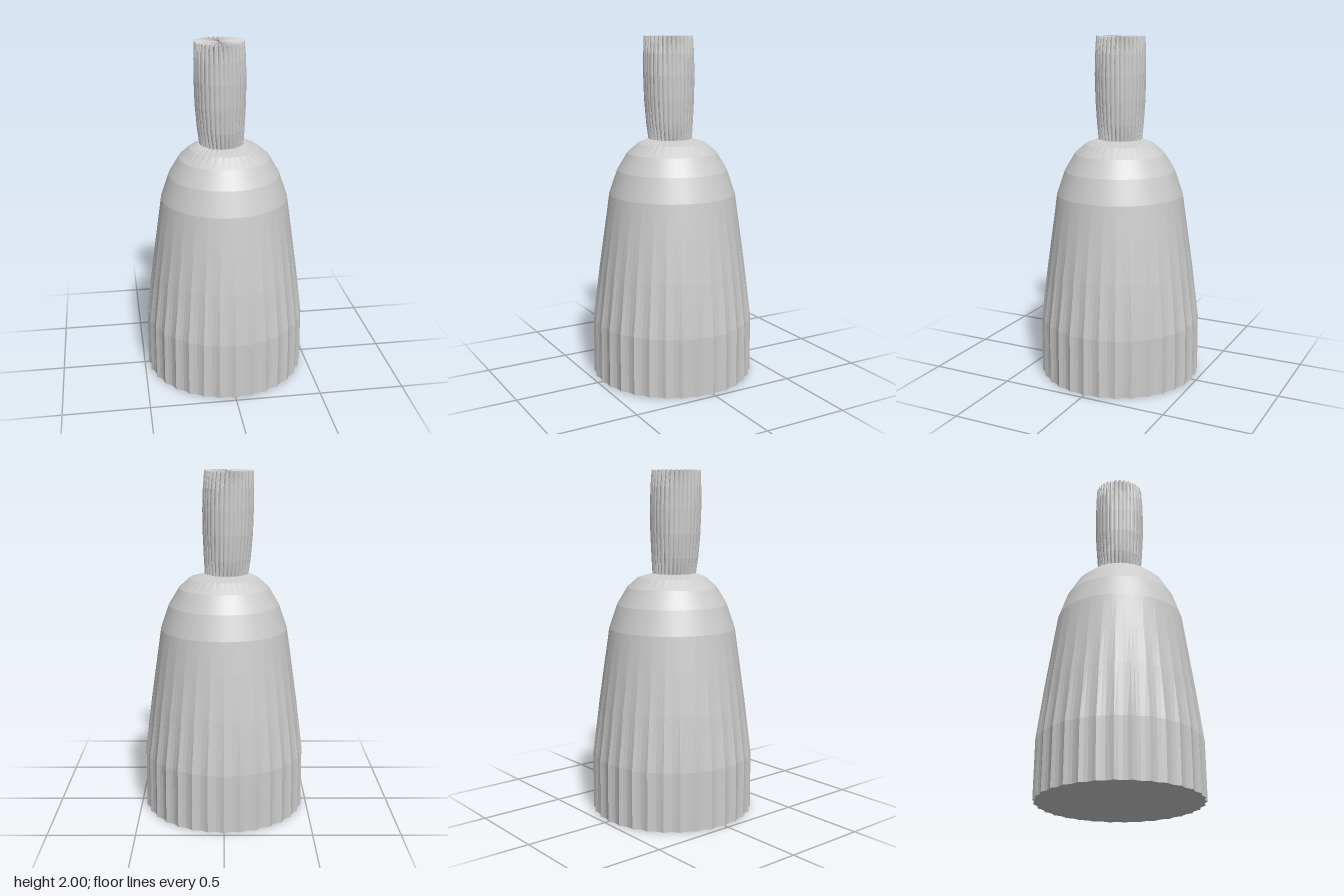
import * as THREE from 'three';

const PLEATS = 32;
const SEGMENTS = PLEATS * 4;

// Lofts a surface through rings, listed from bottom to top.
// Ring: y, r, x/z offset, pleat (sharp outward ridges), flute (narrow inward grooves), dip (grooves cut down from the rim)
function loft(name, rings) {
  const positions = [], index = [];
  for (const { y, r, x = 0, z = 0, pleat = 0, flute = 0, dip = 0 } of rings) {
    for (let i = 0; i <= SEGMENTS; i++) {
      const a = (i / SEGMENTS) * Math.PI * 2;
      const wave = Math.abs(Math.sin((a * PLEATS) / 2));
      const radius = Math.max(0, r - pleat * wave - flute * (1 - wave));
      positions.push(x + radius * Math.sin(a), y - dip * (1 - wave), z + radius * Math.cos(a));
    }
  }
  const row = SEGMENTS + 1;
  for (let j = 0; j < rings.length - 1; j++) {
    for (let i = 0; i < SEGMENTS; i++) {
      const a = j * row + i, b = a + 1, c = a + row, d = c + 1;
      index.push(a, b, d, a, d, c);
    }
  }
  const geometry = new THREE.BufferGeometry();
  geometry.setAttribute('position', new THREE.Float32BufferAttribute(positions, 3));
  geometry.setIndex(index);
  geometry.computeVertexNormals();
  const material = new THREE.MeshStandardMaterial({ color: 0xcccccc, flatShading: true });
  const mesh = new THREE.Mesh(geometry, material);
  mesh.name = name;
  return mesh;
}

export function createModel() {
  const group = new THREE.Group();
  group.name = 'handledBell';

  // Pleated skirt, its pleats fading out upwards
  const hem = { y: 0, r: 0.475, pleat: 0.015 };
  const waist = { y: 1.09, r: 0.37 };
  group.add(loft('base', [{ y: 0, r: 0 }, hem]));
  group.add(loft('skirt', [
    hem,
    { y: 0.34, r: 0.473, pleat: 0.013 },
    { y: 0.65, r: 0.434, pleat: 0.006 },
    { y: 0.9, r: 0.398, pleat: 0.002 },
    waist,
  ]));

  // Rounded shoulder gathered into the neck
  const neck = { y: 1.41, r: 0.127, x: -0.015, z: 0.004, flute: 0.012 };
  group.add(loft('shoulder', [
    waist,
    { y: 1.23, r: 0.322 },
    { y: 1.33, r: 0.262 },
    { y: 1.385, r: 0.2, flute: 0.003 },
    neck,
  ]));

  // Fluted handle, slightly bulged and off centre
  const rim = { y: 2, r: 0.141, x: -0.028, z: 0.008, flute: 0.013, dip: 0.015 };
  group.add(loft('handle', [
    neck,
    { y: 1.5, r: 0.136, x: -0.019, z: 0.006, flute: 0.006 },
    { y: 1.64, r: 0.145, x: -0.022, z: 0.007, flute: 0.004 },
    { y: 1.78, r: 0.148, x: -0.023, z: 0.008, flute: 0.004 },
    { y: 1.9, r: 0.146, x: -0.025, z: 0.008, flute: 0.006 },
    rim,
  ]));

  // Radially grooved cap with a small sunken centre
  group.add(loft('handleCap', [
    rim,
    { y: 1.995, r: 0.022, x: -0.028, z: 0.008, flute: 0.008, dip: 0.012 },
    { y: 1.985, r: 0, x: -0.028, z: 0.008 },
  ]));

  return group;
}
